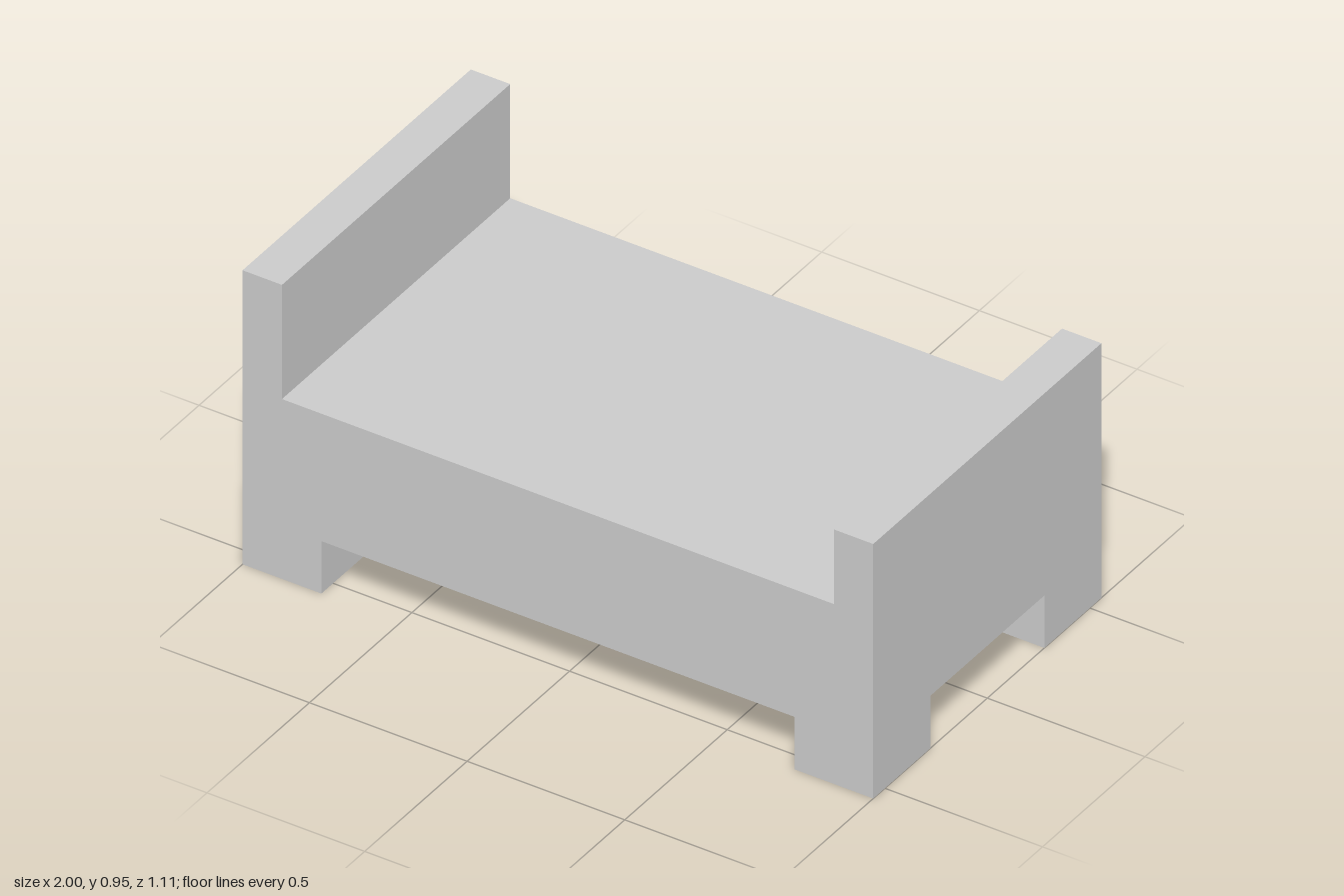
import * as THREE from 'three';

const HALF_X = 1, HALF_Z = 0.557;      // footprint
const UNDER = 0.17, DECK = 0.583;      // underside and top of the lying surface
const HEAD = 0.953, FOOT = 0.825;      // heights of the end boards
const BOARD = 0.125;                   // end board thickness
const LEG_X = 0.25, LEG_Z = 0.2785;    // leg block size

export function createModel() {
  const group = new THREE.Group();
  group.name = 'bed';
  const material = new THREE.MeshStandardMaterial({ color: 0xcccccc, flatShading: true });

  const add = (name, geometry, x, y, z) => {
    const mesh = new THREE.Mesh(geometry, material);
    mesh.name = name;
    mesh.position.set(x, y, z);
    group.add(mesh);
  };

  // Frame: side profile with headboard (-x), deck and footboard (+x) in one piece
  const inner = HALF_X - BOARD;
  const profile = new THREE.Shape([
    [-HALF_X, UNDER], [HALF_X, UNDER], [HALF_X, FOOT], [inner, FOOT],
    [inner, DECK], [-inner, DECK], [-inner, HEAD], [-HALF_X, HEAD],
  ].map(([x, y]) => new THREE.Vector2(x, y)));
  const frame = new THREE.ExtrudeGeometry(profile, { depth: 2 * HALF_Z, bevelEnabled: false });
  add('frameWithEndBoards', frame, 0, 0, -HALF_Z);

  // Four block legs, flush with the corners
  const leg = new THREE.BoxGeometry(LEG_X, UNDER, LEG_Z);
  for (const [sx, side] of [[-1, 'Right'], [1, 'Left']]) {
    for (const [sz, end] of [[1, 'front'], [-1, 'back']]) {
      add(`${end}${side}Leg`, leg, sx * (HALF_X - LEG_X / 2), UNDER / 2, sz * (HALF_Z - LEG_Z / 2));
    }
  }
  return group;
}
